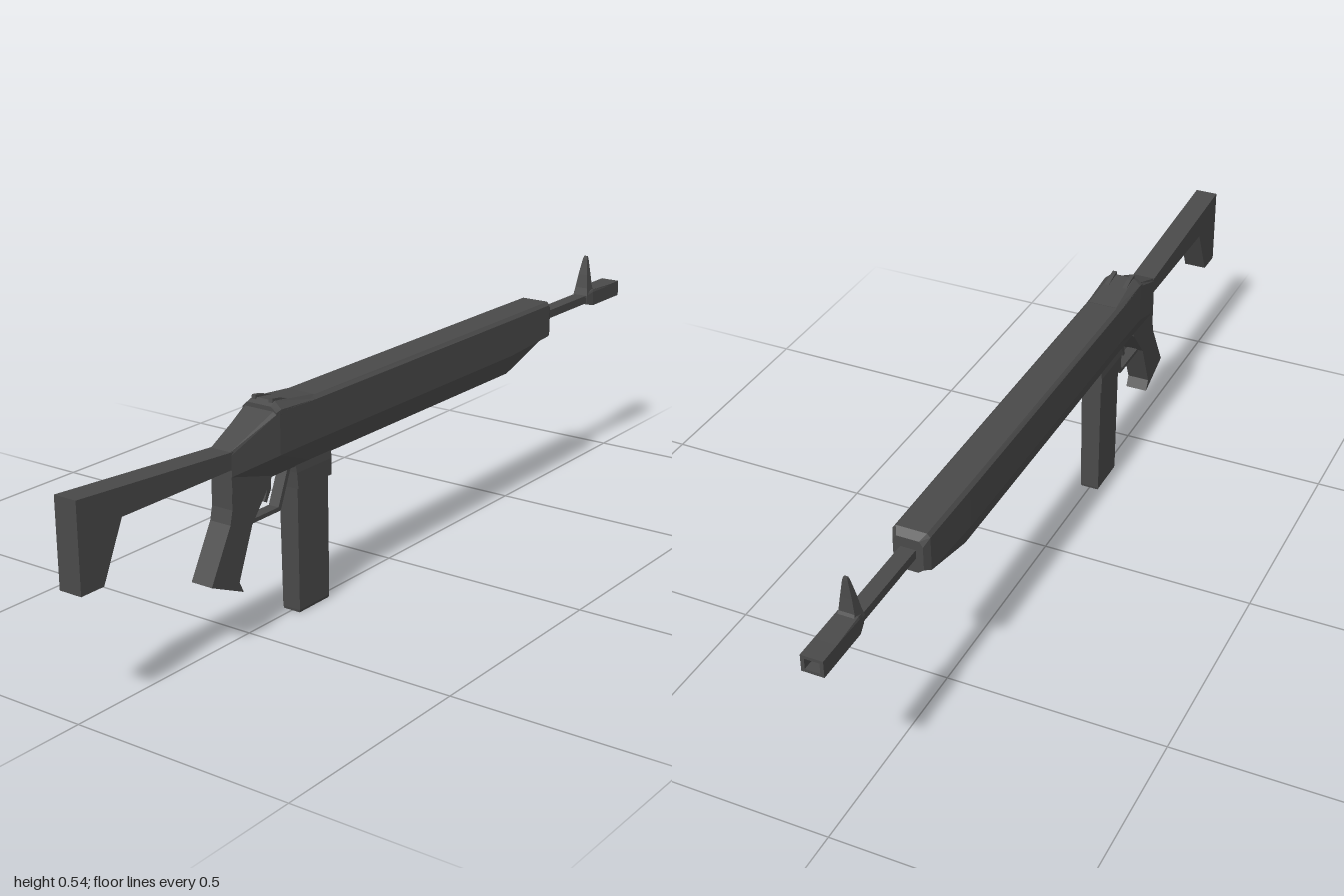
import * as THREE from 'three';

const material = new THREE.MeshStandardMaterial({ color: 0x4a4a4a, flatShading: true });

// Skin a row of closed rings (counter-clockwise about the loft direction) and cap both ends.
function loft(rings) {
  const pos = [];
  const tri = (a, b, c) => pos.push(...a, ...b, ...c);
  const n = rings[0].length;
  for (let r = 0; r < rings.length - 1; r++) {
    const a = rings[r], b = rings[r + 1];
    for (let i = 0; i < n; i++) {
      const j = (i + 1) % n;
      tri(a[i], a[j], b[j]);
      tri(a[i], b[j], b[i]);
    }
  }
  const first = rings[0], last = rings[rings.length - 1];
  for (let i = 1; i < n - 1; i++) {
    tri(first[0], first[i + 1], first[i]);
    tri(last[0], last[i], last[i + 1]);
  }
  const g = new THREE.BufferGeometry();
  g.setAttribute('position', new THREE.Float32BufferAttribute(pos, 3));
  g.computeVertexNormals();
  return g;
}

// Side outline given as [z, y] points, extruded across x and centred.
function sideProfile(points, width) {
  const shape = new THREE.Shape(points.map(([z, y]) => new THREE.Vector2(z, y)));
  return new THREE.ExtrudeGeometry(shape, { depth: width, bevelEnabled: false })
    .rotateY(-Math.PI / 2)
    .translate(width / 2, 0, 0);
}

// Box given by its half width and its y and z ranges.
function block(halfWidth, y0, y1, z0, z1) {
  return new THREE.BoxGeometry(2 * halfWidth, y1 - y0, z1 - z0)
    .translate(0, (y0 + y1) / 2, (z0 + z1) / 2);
}

// Eight-sided body section: narrow bottom, straight flanks, chamfered top.
function bodyRing([z, yb, ym, ys, yt, wb, wm, wt]) {
  const half = [[wb, yb], [wm, ym], [wm, ys], [wt, yt]];
  const mirrored = half.slice().reverse().map(([x, y]) => [-x, y]);
  return [...half, ...mirrored].map(([x, y]) => [x, y, z]);
}

// Rectangular horizontal section for upright parts.
function flatRing([y, w, z0, z1]) {
  return [[w, y, z1], [w, y, z0], [-w, y, z0], [-w, y, z1]];
}

export function createModel() {
  const model = new THREE.Group();
  const add = (name, geometry) => {
    const mesh = new THREE.Mesh(geometry, material);
    mesh.name = name;
    model.add(mesh);
  };

  // Long receiver and fore-end
  add('body', loft([
    [-0.637, 0.39, 0.40, 0.455, 0.467, 0.02, 0.033, 0.025],
    [-0.62, 0.385, 0.392, 0.47, 0.478, 0.024, 0.041, 0.034],
    [-0.45, 0.335, 0.382, 0.47, 0.478, 0.027, 0.042, 0.035],
    [0.32, 0.335, 0.382, 0.47, 0.478, 0.027, 0.043, 0.035],
    [0.44, 0.335, 0.382, 0.474, 0.48, 0.027, 0.045, 0.037],
    [0.572, 0.33, 0.37, 0.415, 0.422, 0.027, 0.027, 0.025],
  ].map(bodyRing)));

  // Raised rear sight block with two small ears
  add('rearSightBase', loft([
    [0.315, 0.465, 0.468, 0.47, 0.479, 0.04, 0.042, 0.034],
    [0.435, 0.465, 0.468, 0.478, 0.493, 0.04, 0.045, 0.028],
    [0.45, 0.465, 0.468, 0.474, 0.485, 0.04, 0.044, 0.03],
  ].map(bodyRing)));
  for (const side of [-1, 1]) {
    const ear = sideProfile([[0.37, 0.482], [0.442, 0.482], [0.44, 0.499], [0.42, 0.496]], 0.01);
    add(side > 0 ? 'leftSightEar' : 'rightSightEar', ear.translate(side * 0.022, 0, 0));
  }

  // Shoulder stock
  add('stock', sideProfile([
    [0.56, 0.385], [0.885, 0.385], [0.94, 0.265], [1, 0.265], [1, 0.452], [0.56, 0.421],
  ], 0.054));

  // Pistol grip with flared toe
  add('grip', sideProfile([
    [0.572, 0.385], [0.444, 0.345], [0.452, 0.325], [0.513, 0.25], [0.557, 0.14],
    [0.545, 0.115], [0.642, 0.157], [0.58, 0.27], [0.573, 0.3],
  ], 0.053));

  // Trigger and its guard
  add('triggerGuard', sideProfile([
    [0.52, 0.245], [0.404, 0.245], [0.365, 0.338], [0.376, 0.338], [0.411, 0.254], [0.52, 0.254],
  ], 0.026));
  add('trigger', sideProfile([
    [0.425, 0.338], [0.425, 0.3], [0.44, 0.272], [0.447, 0.276], [0.437, 0.302], [0.445, 0.338],
  ], 0.012));

  // Magazine and the collar that holds it
  add('magazineWell', loft([
    [0.283, 0.029, 0.25, 0.364], [0.32, 0.029, 0.25, 0.368], [0.345, 0.027, 0.25, 0.372],
  ].map(flatRing)));
  add('magazine', loft([
    [0, 0.021, 0.256, 0.357], [0.006, 0.0225, 0.255, 0.358], [0.29, 0.024, 0.257, 0.361],
  ].map(flatRing)));

  // Barrel and square muzzle with an open end
  add('barrel', block(0.017, 0.424, 0.444, -0.87, -0.62));
  add('muzzleRear', loft([
    [-0.95, 0.415, 0.42, 0.45, 0.453, 0.024, 0.024, 0.024],
    [-0.868, 0.415, 0.42, 0.45, 0.456, 0.024, 0.024, 0.022],
    [-0.845, 0.421, 0.425, 0.443, 0.447, 0.018, 0.018, 0.017],
  ].map(bodyRing)));
  const rect = (w, y0, y1) => [[-w, y0], [w, y0], [w, y1], [-w, y1]]
    .map(([x, y]) => new THREE.Vector2(x, y));
  const tip = new THREE.Shape(rect(0.024, 0.415, 0.453));
  tip.holes.push(new THREE.Path(rect(0.016, 0.422, 0.446).reverse()));
  add('muzzleTip', new THREE.ExtrudeGeometry(tip, { depth: 0.05, bevelEnabled: false })
    .translate(0, 0, -1));

  // Tapered front sight blade
  add('frontSight', loft([
    [0.44, 0.02, -0.885, -0.842], [0.462, 0.017, -0.873, -0.848],
    [0.495, 0.0125, -0.871, -0.854], [0.534, 0.006, -0.87, -0.862], [0.541, 0.004, -0.869, -0.864],
  ].map(flatRing)));

  return model;
}
